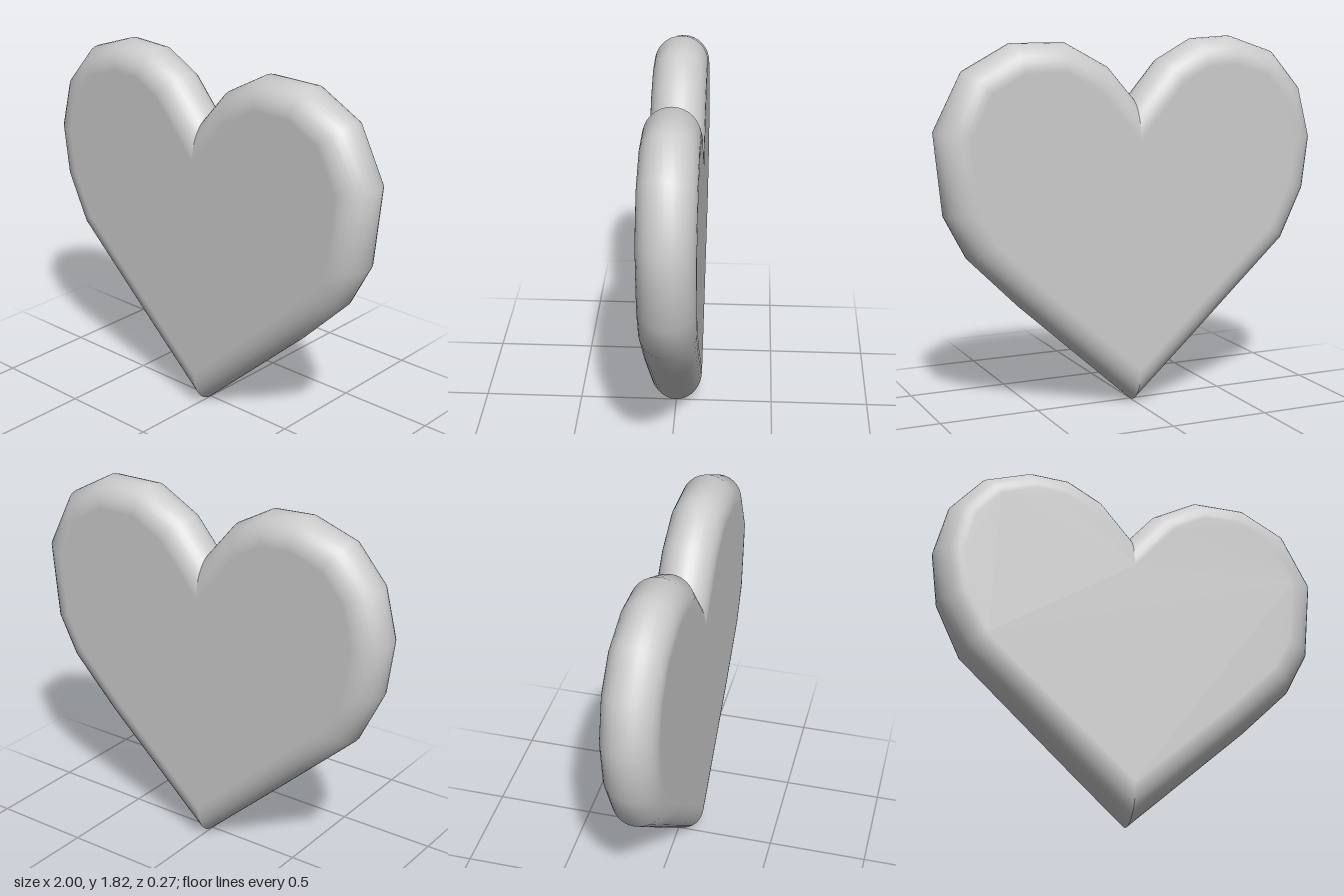
import * as THREE from 'three';

const R = 0.135; // rim radius = half the thickness
const STEPS = 16;

// Outline, counter-clockwise from the bottom tip; NOTCH is the cleft between the lobes
const OUTLINE = [
  [0, 0], [0.6, 0.54], [0.85, 0.79], [0.96, 1.0], [1.0, 1.4], [0.855, 1.68], [0.62, 1.805],
  [0.35, 1.805], [0.13, 1.685], [0, 1.535], [-0.15, 1.71], [-0.335, 1.81], [-0.54, 1.82],
  [-0.775, 1.74], [-0.935, 1.555], [-1, 1.3], [-0.965, 1.03], [-0.84, 0.77], [-0.59, 0.54],
  [-0.335, 0.305],
].map(([x, y]) => new THREE.Vector2(x, y));
const N = OUTLINE.length;
const NOTCH = 9;
const at = (i) => OUTLINE[(i + N) % N];

// Outward normal of the edge that starts at point i
function edgeNormal(i) {
  const d = at(i + 1).clone().sub(at(i)).normalize();
  return new THREE.Vector2(d.y, -d.x);
}

// Mitre vector: moving a corner by it shifts both its edges outward by 1
function mitre(i) {
  const a = edgeNormal(i - 1), b = edgeNormal(i);
  return a.clone().add(b).divideScalar(1 + a.dot(b));
}

// Half-round rim along one half of the heart, smooth inside and sharp at tip and notch
function rim(first, last) {
  const pos = [], nor = [], idx = [];
  const row = STEPS + 1;
  for (let i = first; i <= last; i++) {
    const m = mitre(i);
    const n = i === first ? edgeNormal(i) : i === last ? edgeNormal(i - 1) : m.clone().normalize();
    for (let j = 0; j <= STEPS; j++) {
      const t = (j / STEPS - 0.5) * Math.PI;
      const p = at(i).clone().addScaledVector(m, R * (Math.cos(t) - 1));
      pos.push(p.x, p.y, R * Math.sin(t));
      nor.push(n.x * Math.cos(t), n.y * Math.cos(t), Math.sin(t));
      if (i < last && j < STEPS) {
        const a = (i - first) * row + j, b = a + row;
        idx.push(a, b, b + 1, a, b + 1, a + 1);
      }
    }
  }
  const g = new THREE.BufferGeometry();
  g.setAttribute('position', new THREE.Float32BufferAttribute(pos, 3));
  g.setAttribute('normal', new THREE.Float32BufferAttribute(nor, 3));
  g.setIndex(idx);
  return g;
}

export function createModel() {
  const group = new THREE.Group();
  group.name = 'heart';
  const material = new THREE.MeshStandardMaterial({ color: 0xcccccc });
  const add = (name, geometry) => {
    const mesh = new THREE.Mesh(geometry, material);
    mesh.name = name;
    group.add(mesh);
    return mesh;
  };

  // Rounded rim, one strip per half
  add('leftRim', rim(0, NOTCH));
  add('rightRim', rim(NOTCH, N));

  // Flat faces inside the rim
  const inset = OUTLINE.map((p, i) => p.clone().addScaledVector(mitre(i), -R));
  add('frontFace', new THREE.ShapeGeometry(new THREE.Shape(inset))).position.z = R;
  const mirrored = inset.map((p) => new THREE.Vector2(-p.x, p.y));
  const back = add('backFace', new THREE.ShapeGeometry(new THREE.Shape(mirrored)));
  back.rotation.y = Math.PI;
  back.position.z = -R;

  return group;
}
